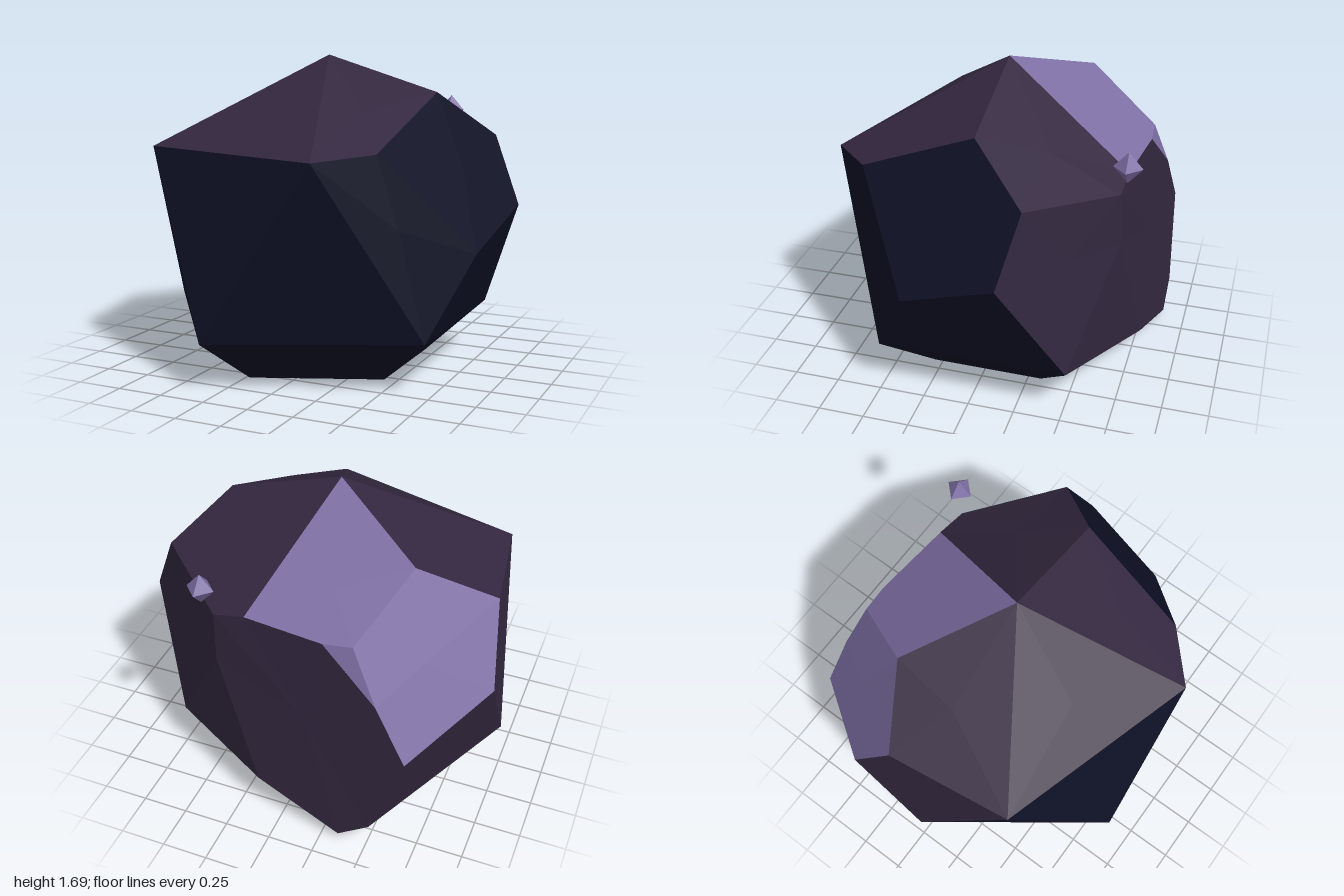
import * as THREE from 'three';

// Corner points of the faceted boulder
const P = {
  peak: [-0.03, 1.69, -0.01], crownR: [0.595, 1.5, -0.01], crownL: [-0.55, 1.49, -0.36],
  G: [0.515, 1.23, 0.62], H: [0.27, 1.2, 0.85], I: [-0.83, 1.205, 0.52],
  M: [-0.93, 1.26, -0.145], L: [-1, 0.86, -0.38], K: [-0.99, 0.27, 0],
  C: [0.83, 1.26, -0.31], D: [0.99, 0.9, -0.22], E: [0.92, 0.715, 0.29],
  F: [0.73, 0.28, 0.5], J: [-0.34, 0.25, 0.88], R: [0.725, 0.28, -0.52],
  S: [0.135, 0.215, -0.81], U: [0.385, 0.91, -0.715], Q: [0.215, 1.225, -0.71],
  Q2: [0.39, 1.185, -0.7], N: [-0.375, 1.235, -0.745], N2: [-0.22, 1.22, -0.755],
  T: [-0.52, 0.955, -0.815], O: [-0.69, 0.66, -0.855], W: [-0.52, 0.17, -0.88],
  V: [-0.35, 0.045, -0.877], b1: [0.435, 0, -0.32], b2: [-0.23, 0, 0.56],
  b3: [0.43, 0, 0.29], b4: [-0.36, 0, -0.81], b5: [-0.615, 0, 0.01],
};

// Flat facets as corner loops, grouped by colour
const upperFacets = [
  'peak Q Q2 C crownR', 'peak crownL M I', 'peak I H', 'peak H G crownR',
  'C Q2 U R D', 'U S R', 'N2 Q Q2 U S V W O T', 'I M L K', 'L K W O',
];
const crystalFacets = ['peak Q N2 N crownL', 'crownL N T O L M', 'N N2 T'];
const lowerFacets = [
  'crownR G E D C', 'G H F E', 'H J F', 'H I J', 'I K J', 'D E F R',
  'F b3 b1 R', 'J b2 b3 F', 'J K b5 b2', 'K W V b4 b5', 'R S V b4 b1', 'b5 b2 b3 b1 b4',
];

// Fan each loop into triangles that face away from the middle of the boulder
function facetGeometry(loops) {
  const middle = new THREE.Vector3(0, 0.8, 0);
  const out = [];
  for (const loop of loops) {
    const pts = loop.split(' ').map((k) => new THREE.Vector3(...P[k]));
    const normal = new THREE.Vector3();
    const centre = new THREE.Vector3();
    pts.forEach((p, i) => {
      normal.add(p.clone().cross(pts[(i + 1) % pts.length]));
      centre.addScaledVector(p, 1 / pts.length);
    });
    if (normal.dot(centre.clone().sub(middle)) < 0) pts.reverse();
    for (let i = 0; i < pts.length; i++) {
      for (const p of [centre, pts[i], pts[(i + 1) % pts.length]]) out.push(p.x, p.y, p.z);
    }
  }
  const geo = new THREE.BufferGeometry();
  geo.setAttribute('position', new THREE.Float32BufferAttribute(out, 3));
  geo.computeVertexNormals();
  return geo;
}

function makeMaterial(name, color) {
  const m = new THREE.MeshStandardMaterial({ color, flatShading: true });
  m.name = name;
  return m;
}

export function createModel() {
  const model = new THREE.Group();
  model.name = 'facetedBoulder';
  const plum = makeMaterial('dark plum', 0x33273f);
  const lilac = makeMaterial('lilac', 0x7f6fa5);
  const navy = makeMaterial('midnight navy', 0x0f1126);

  const add = (name, geo, mat) => {
    const mesh = new THREE.Mesh(geo, mat);
    mesh.name = name;
    model.add(mesh);
    return mesh;
  };

  add('upperRock', facetGeometry(upperFacets), plum);
  add('crystalFaces', facetGeometry(crystalFacets), lilac);
  add('lowerRock', facetGeometry(lowerFacets), navy);

  // Small floating crystal behind the boulder
  const shard = add('floatingShard', new THREE.OctahedronGeometry(1), lilac);
  shard.scale.set(0.074, 0.083, 0.075);
  shard.position.set(0.43, 1.36, -0.735);

  return model;
}
